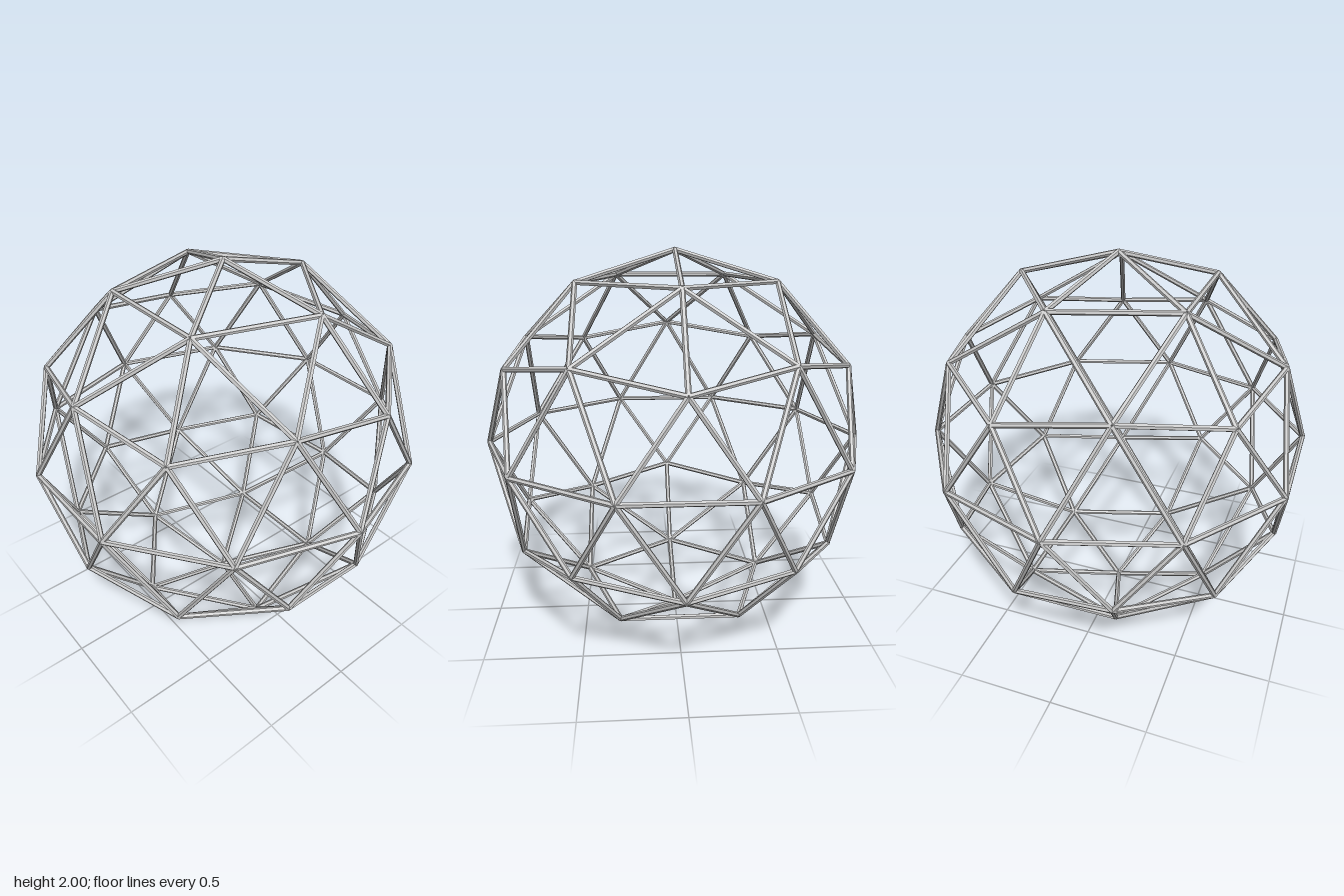
import * as THREE from 'three';

const RADIUS = 0.9875; // sphere through the joints
const STRUT = 0.0135;  // strut radius
const SIDES = 6;

// Ring of joints on the unit sphere at a given height
function ring(count, y, startDegrees) {
  const r = Math.sqrt(1 - y * y);
  return Array.from({ length: count }, (_, i) => {
    const a = THREE.MathUtils.degToRad(startDegrees + (i * 360) / count);
    return new THREE.Vector3(r * Math.cos(a), y, r * Math.sin(a));
  });
}

// Joints of a two-frequency geodesic sphere, one five-way joint at the top
function geodesicJoints() {
  const upper = [
    new THREE.Vector3(0, 1, 0),
    ...ring(5, 0.8507, 0),
    ...ring(5, 0.5257, 36),
    ...ring(5, 0.4472, 0),
  ];
  const lower = upper.map((p) => p.clone().negate());
  return [...upper, ...ring(10, 0, 18), ...lower].map((p) => p.multiplyScalar(RADIUS));
}

// Straight bar between two joints
function makeStrut(a, b, material) {
  const along = b.clone().sub(a);
  const strut = new THREE.Mesh(
    new THREE.CylinderGeometry(STRUT, STRUT, along.length(), SIDES),
    material
  );
  strut.position.copy(a).add(b).multiplyScalar(0.5);
  strut.quaternion.setFromUnitVectors(new THREE.Vector3(0, 1, 0), along.normalize());
  strut.name = 'strut';
  return strut;
}

export function createModel() {
  const model = new THREE.Group();
  model.name = 'geodesicSphere';
  const material = new THREE.MeshStandardMaterial({ color: 0xcccccc, flatShading: true });
  const joints = geodesicJoints();

  // Neighbouring joints are closer than 0.7 radius
  const frame = new THREE.Group();
  frame.name = 'strutFrame';
  joints.forEach((a, i) => {
    for (const b of joints.slice(i + 1)) {
      if (a.distanceTo(b) < 0.7 * RADIUS) frame.add(makeStrut(a, b, material));
    }
  });
  frame.position.y = 1;
  model.add(frame);
  return model;
}
